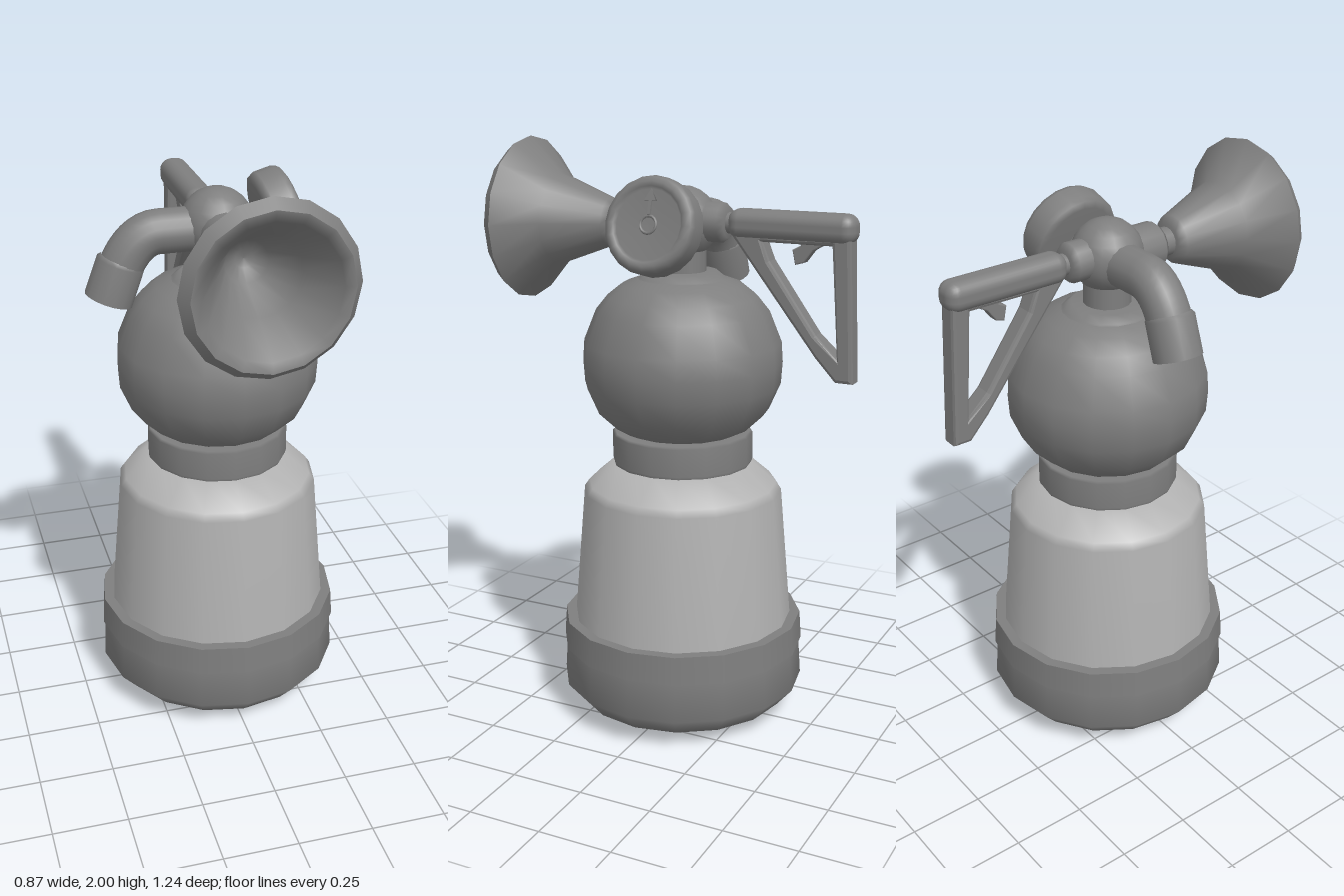
import * as THREE from 'three';
import { RoundedBoxGeometry } from 'three/addons/geometries/RoundedBoxGeometry.js';

const dark = new THREE.MeshStandardMaterial({ color: 0x7e7e7e });
const light = new THREE.MeshStandardMaterial({ color: 0xb2b2b2 });
const CREASE = 0.9;

function part(name, geometry, parent, material = dark) {
  const mesh = new THREE.Mesh(geometry, material);
  mesh.name = name;
  parent.add(mesh);
  return mesh;
}

// Turned part around y from [radius, height] pairs; sharp corners are doubled to stay crisp
function turned(pairs, sides = 16) {
  const pts = pairs.map(([r, y]) => new THREE.Vector2(r, y));
  const profile = pts.flatMap((p, i) => {
    if (i === 0 || i === pts.length - 1) return [p];
    const turn = p.clone().sub(pts[i - 1]).angleTo(pts[i + 1].clone().sub(p));
    return turn > CREASE ? [p, p.clone()] : [p];
  });
  return new THREE.LatheGeometry(profile, sides);
}

// Plate outlined in the side plane, u = distance behind the centre, v = height
function sidePlate(points, hole, thickness, bevel) {
  const toPts = (a) => a.map(([u, v]) => new THREE.Vector2(u, v));
  const shape = new THREE.Shape(toPts(points));
  if (hole) shape.holes.push(new THREE.Path(toPts(hole)));
  const g = new THREE.ExtrudeGeometry(shape, {
    depth: thickness - 2 * bevel, bevelEnabled: true, bevelThickness: bevel,
    bevelSize: bevel, bevelOffset: -bevel, bevelSegments: 2,
  });
  return g.translate(0, 0, -thickness / 2 + bevel).rotateY(Math.PI / 2);
}

export function createModel() {
  const model = new THREE.Group();
  model.name = 'hornBottle';
  const body = new THREE.Group();
  body.name = 'body';
  const valve = new THREE.Group();
  valve.name = 'valve';
  model.add(body, valve);
  model.position.x = 0.005;

  // Stacked body
  part('base', turned([[0, 0], [0.2, 0.01], [0.37, 0.05], [0.427, 0.115], [0.418, 0.25], [0, 0.25]]), body);
  part('baseBand', turned([[0, 0.252], [0.427, 0.252], [0.42, 0.35], [0.385, 0.35], [0, 0.35]]), body);
  part('tank', turned([[0.385, 0.34], [0.345, 0.81], [0.327, 0.835], [0.235, 0.915], [0, 0.915]]), body, light);
  part('collar', turned([[0, 0.91], [0.24, 0.91], [0.243, 0.92], [0.243, 1.015], [0.235, 1.022], [0, 1.022]]), body);
  part('globe', turned([
    [0.19, 1.02], [0.235, 1.04], [0.298, 1.1], [0.337, 1.19], [0.342, 1.265], [0.337, 1.335],
    [0.295, 1.44], [0.255, 1.49], [0.205, 1.53], [0.15, 1.55],
  ]), body);
  part('globeCap', turned([[0.16, 1.545], [0.145, 1.553], [0.12, 1.574], [0, 1.574]]), body);

  // Valve hub with its sockets
  part('neck', turned([[0.08, 1.56], [0.08, 1.66]]), valve);
  part('hub', new THREE.SphereGeometry(0.122, 16, 12).translate(0, 1.735, 0), valve);
  const alongZ = (pairs) => turned(pairs).rotateX(Math.PI / 2).translate(0, 1.722, 0);
  const backward = (pairs) => turned(pairs).rotateX(-Math.PI / 2).translate(0, 1.742, 0);
  part('frontSocket', alongZ([[0.08, 0.05], [0.08, 0.185], [0.068, 0.2], [0, 0.2]]), valve);
  part('hornStem', alongZ([[0.048, 0.19], [0.048, 0.27]]), valve);
  part('rearSocket', backward([[0.066, 0.05], [0.066, 0.15], [0.05, 0.17], [0, 0.17]]), valve);
  part('handleStem', backward([[0.035, 0.15], [0.035, 0.2]]), valve);

  // Hollow horn
  part('horn', alongZ([
    [0, 0.245], [0.06, 0.247], [0.083, 0.27], [0.155, 0.465], [0.28, 0.585], [0.25, 0.622],
    [0.215, 0.615], [0.135, 0.47], [0.07, 0.34], [0.03, 0.31], [0, 0.305],
  ]), model);

  // Bent spout with a cuff on the model's right
  const spout = new THREE.Group();
  spout.name = 'spout';
  model.add(spout);
  const path = new THREE.CurvePath();
  const p = (x, y) => new THREE.Vector3(x, y, 0);
  path.add(new THREE.LineCurve3(p(-0.05, 1.725), p(-0.2, 1.725)));
  path.add(new THREE.QuadraticBezierCurve3(p(-0.2, 1.725), p(-0.275, 1.72), p(-0.325, 1.61)));
  part('spoutPipe', new THREE.TubeGeometry(path, 16, 0.073, 16), spout);
  const cuff = part('spoutCuff', turned([
    [0.07, 0], [0.08, 0.012], [0.081, 0.14], [0.066, 0.14], [0.062, 0.11], [0, 0.11],
  ]), spout);
  cuff.position.set(-0.317, 1.642, 0);
  cuff.rotation.z = Math.PI - 0.35;

  // Tilted pressure gauge on the model's left, built facing +y
  const gauge = new THREE.Group();
  gauge.name = 'gauge';
  part('gaugeCase', turned([
    [0, -0.11], [0.13, -0.11], [0.152, -0.102], [0.16, -0.085], [0.16, -0.025], [0.152, -0.007],
    [0.137, 0], [0.122, -0.003], [0.114, -0.012], [0, -0.014],
  ], 20), gauge);
  part('gaugeStem', turned([[0.04, -0.2], [0.04, -0.1]]), gauge);
  part('dialRing', new THREE.TorusGeometry(0.028, 0.005, 6, 16).rotateX(Math.PI / 2).translate(0, -0.012, 0), gauge);
  part('needle', new THREE.BoxGeometry(0.06, 0.014, 0.01).translate(-0.06, -0.012, 0), gauge);
  part('needleTip', new THREE.CylinderGeometry(0.025, 0.025, 0.014, 3)
    .rotateY(-Math.PI / 2).translate(-0.088, -0.012, 0), gauge);
  gauge.position.set(0.26, 1.758, 0);
  gauge.rotation.z = -Math.PI / 2 + 0.28;
  model.add(gauge);

  // Triangular rear handle with a trigger hook
  const handle = new THREE.Group();
  handle.name = 'handle';
  model.add(handle);
  part('handleBar', new RoundedBoxGeometry(0.1, 0.098, 0.438, 3, 0.04).translate(0, 1.743, -0.394), handle);
  part('handleFrame', sidePlate(
    [[0.18, 1.72], [0.49, 1.325], [0.56, 1.25], [0.621, 1.25], [0.6, 1.74], [0.2, 1.74]],
    [[0.3, 1.69], [0.325, 1.63], [0.49, 1.4], [0.565, 1.33], [0.538, 1.69]], 0.07, 0.012), handle);
  part('trigger', sidePlate(
    [[0.425, 1.72], [0.428, 1.685], [0.4, 1.67], [0.41, 1.622], [0.44, 1.63], [0.47, 1.67], [0.515, 1.695], [0.515, 1.72]],
    null, 0.04, 0.004), handle);

  return model;
}
